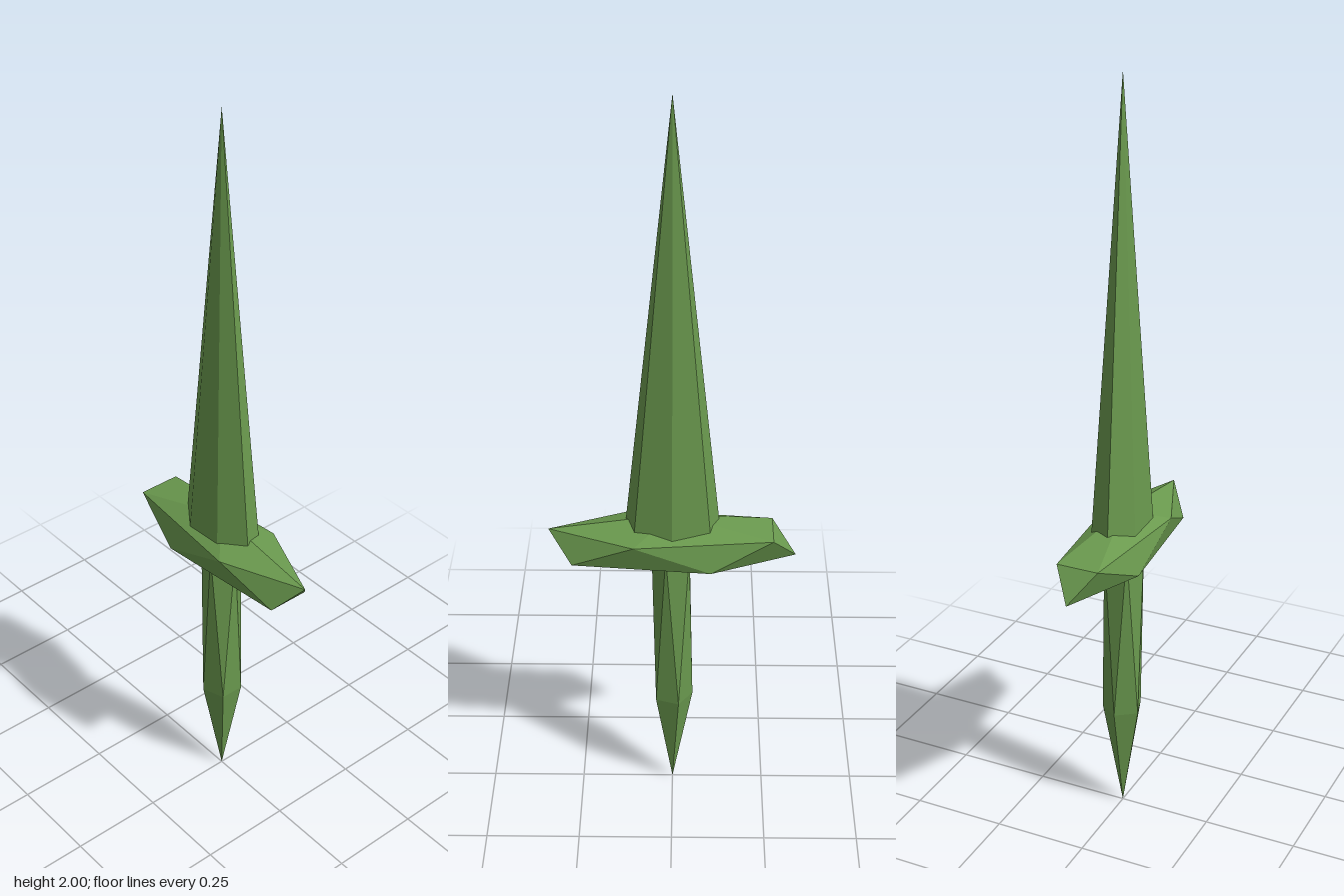
import * as THREE from 'three';

// Twenty-sided gem with a pole at the top and bottom, stretched to the given radii
function gemGeometry(rx, ry, rz) {
  const low = 1 / Math.sqrt(5), ring = 2 * low;
  const point = (i, upper) => {
    const a = ((upper ? i : i + 0.5) * Math.PI * 2) / 5;
    return [rx * ring * Math.cos(a), ry * (upper ? low : -low), rz * ring * Math.sin(a)];
  };
  const top = [0, ry, 0], bottom = [0, -ry, 0], faces = [];
  for (let i = 0; i < 5; i++) {
    const u = point(i, true), uNext = point(i + 1, true);
    const l = point(i, false), lNext = point(i + 1, false);
    faces.push(top, uNext, u, u, uNext, l, l, uNext, lNext, l, lNext, bottom);
  }
  const geometry = new THREE.BufferGeometry();
  geometry.setAttribute('position', new THREE.Float32BufferAttribute(faces.flat(), 3));
  geometry.computeVertexNormals();
  return geometry;
}

export function createModel() {
  const group = new THREE.Group();
  group.name = 'dagger';
  const green = new THREE.MeshStandardMaterial({ color: 0x6a994e });
  green.name = 'leafGreen';

  const add = (name, geometry, y) => {
    const mesh = new THREE.Mesh(geometry, green);
    mesh.name = name;
    mesh.position.y = y;
    group.add(mesh);
  };

  // Flattened seven-sided blade, its base sunk in the guard
  const blade = new THREE.ConeGeometry(1, 1.2, 7).toNonIndexed();
  blade.rotateY(Math.PI).scale(0.1295, 1, 0.07);
  blade.computeVertexNormals();
  add('blade', blade, 1.4);

  // Wide guard
  add('guard', gemGeometry(0.358, 0.0845, 0.107), 0.797);

  // Long handle, its upper point hidden inside the blade
  add('handle', gemGeometry(0.061, 0.54, 0.061), 0.54);

  return group;
}
